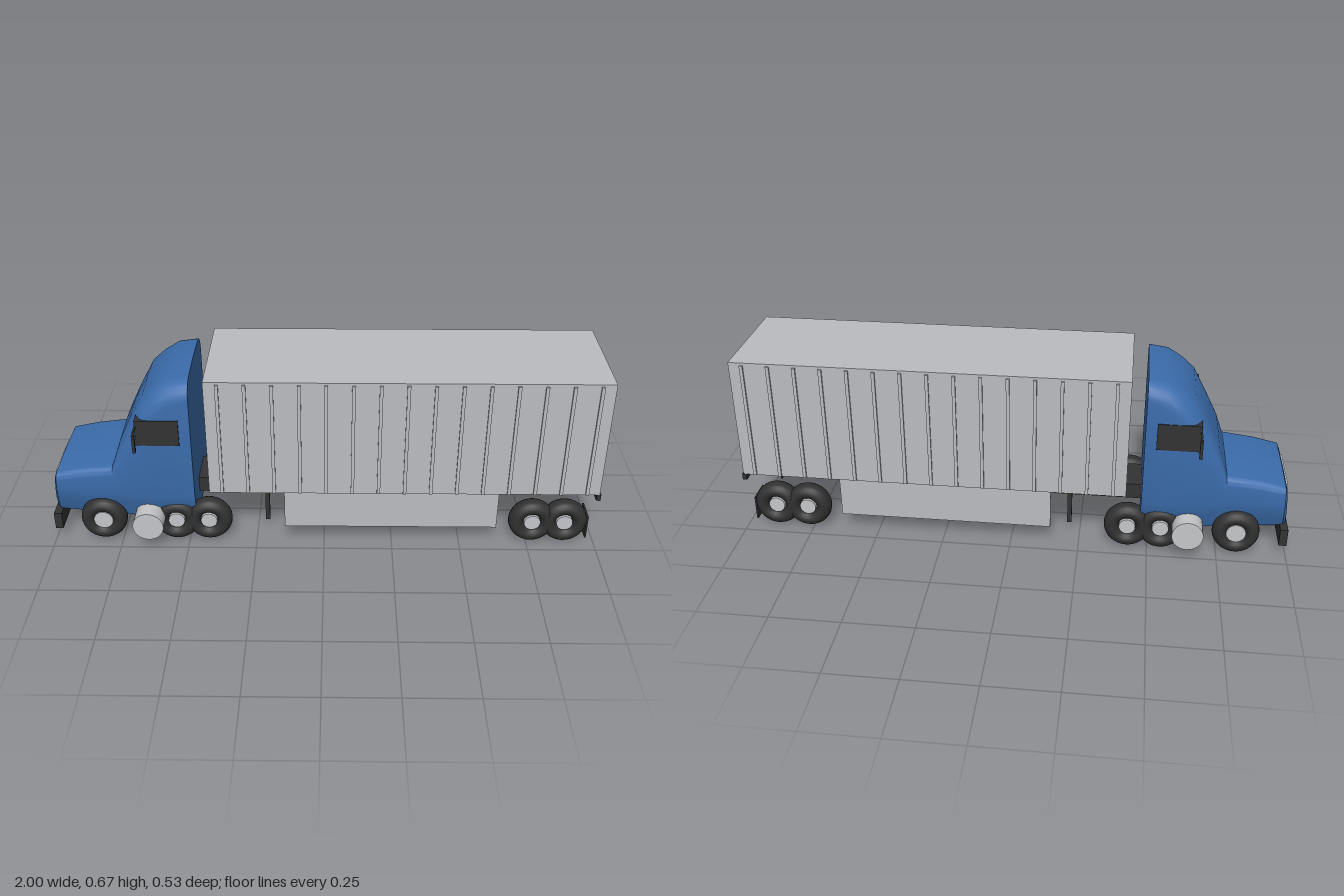
import * as THREE from 'three';
import { toCreasedNormals } from 'three/addons/utils/BufferGeometryUtils.js';

const mat = (name, color) => new THREE.MeshStandardMaterial({ name, color });

// Closed loft along x; each station: [x, bottom, top, halfWidth, cornerRadius, lean]
function loftCab(stations) {
  const pos = [], index = [];
  let n = 0;
  for (const [x, b, top, w, r, lean] of stations) {
    const half = [[0.1, b + 0.003], [w - 0.03, b + 0.02], [w - 0.008, 0.16], [w, 0.2]];
    for (let i = 0; i <= 6; i++) {
      const a = (i / 6) * Math.PI / 2;
      half.push([w - r + r * Math.cos(a), top - 0.005 - r + r * Math.sin(a)]);
    }
    const mirrored = half.slice().reverse().map(([z, y]) => [-z, y]);
    const loop = [[0, b], ...half, [0, top], ...mirrored];
    n = loop.length;
    for (const [z, y] of loop) pos.push(x + lean * (y - 0.1), y, z);
  }
  const last = (stations.length - 1) * n;
  for (let s = 0; s < stations.length - 1; s++) {
    for (let i = 0; i < n; i++) {
      const a = s * n + i, b = s * n + (i + 1) % n;
      index.push(a, a + n, b, b, a + n, b + n);
    }
  }
  // end caps
  for (let i = 1; i < n - 1; i++) {
    index.push(0, i, i + 1);
    index.push(last, last + i + 1, last + i);
  }
  const g = new THREE.BufferGeometry();
  g.setAttribute('position', new THREE.Float32BufferAttribute(pos, 3));
  g.setIndex(index);
  return toCreasedNormals(g, 0.6);
}

export function createModel() {
  const truck = new THREE.Group();
  truck.name = 'semiTruck';
  const blue = mat('cab blue', 0x3b6cab);
  const grey = mat('trailer grey', 0xbabcc0);
  const silver = mat('bright metal', 0xc4c6c9);
  const dark = mat('dark trim', 0x333333);
  const rubber = mat('tyre rubber', 0x303030);

  const add = (name, geometry, material, x = 0, y = 0, z = 0) => {
    const m = new THREE.Mesh(geometry, material);
    m.name = name;
    m.position.set(x, y, z);
    truck.add(m);
    return m;
  };
  // Box given by its minimum and maximum on each axis
  const box = (name, material, [x0, x1], [y0, y1], [z0, z1]) =>
    add(name, new THREE.BoxGeometry(x1 - x0, y1 - y0, z1 - z0), material,
      (x0 + x1) / 2, (y0 + y1) / 2, (z0 + z1) / 2);
  // Same box on both sides of the truck
  const pair = (name, material, xs, ys, [z0, z1]) => {
    box(name + 'Left', material, xs, ys, [z0, z1]);
    box(name + 'Right', material, xs, ys, [-z1, -z0]);
  };

  // Cab with hood, windshield and sleeper roof
  add('cabBody', loftCab([
    [-0.995, 0.09, 0.262, 0.165, 0.02, 0.08],
    [-0.982, 0.085, 0.277, 0.18, 0.025, 0.04],
    [-0.88, 0.078, 0.297, 0.184, 0.028, 0],
    [-0.766, 0.073, 0.31, 0.188, 0.03, 0],
    [-0.735, 0.072, 0.4, 0.195, 0.07, 0],
    [-0.69, 0.071, 0.495, 0.203, 0.1, 0],
    [-0.638, 0.07, 0.59, 0.21, 0.1, 0],
    [-0.59, 0.07, 0.628, 0.211, 0.085, 0],
    [-0.54, 0.07, 0.656, 0.21, 0.075, 0],
    [-0.47, 0.07, 0.665, 0.204, 0.065, 0],
  ]), blue);
  box('grilleBar', silver, [-0.99, -0.979], [0.234, 0.25], [-0.11, 0.11]);
  box('frontBumper', dark, [-1, -0.972], [0.042, 0.108], [-0.192, 0.192]);

  // Side windows and mirrors
  pair('sideWindow', dark, [-0.663, -0.51], [0.42, 0.52], [0.15, 0.213]);
  pair('mirrorArm', dark, [-0.664, -0.658], [0.494, 0.499], [0.15, 0.255]);
  pair('mirror', dark, [-0.666, -0.656], [0.42, 0.49], [0.25, 0.264]);

  // Chassis and fuel tanks
  box('chassis', dark, [-0.6, -0.145], [0.135, 0.194], [-0.076, 0.076]);
  for (const s of [1, -1]) {
    const tank = add('fuelTank', new THREE.CylinderGeometry(0.056, 0.056, 0.198, 32),
      silver, -0.64, 0.104, s * 0.167);
    tank.rotation.x = Math.PI / 2;
  }

  // Trailer box, side ribs, rear door seam
  box('trailerBox', grey, [-0.415, 0.995], [0.221, 0.674], [-0.212, 0.212]);
  for (let i = 0; i < 15; i++) {
    const x = -0.368 + i * 0.094;
    pair('trailerRib', grey, [x - 0.006, x + 0.006], [0.224, 0.665], [0.21, 0.219]);
  }
  box('doorSeam', dark, [0.99, 0.999], [0.228, 0.66], [-0.003, 0.003]);
  box('rearBumper', dark, [0.984, 1], [0.197, 0.222], [-0.213, 0.213]);

  // Side skirts, landing legs and mud flaps
  pair('sideSkirt', grey, [-0.145, 0.635], [0.066, 0.222], [0.194, 0.201]);
  pair('landingLeg', dark, [-0.219, -0.203], [0.05, 0.222], [0.121, 0.137]);
  pair('mudFlap', dark, [0.968, 0.974], [0.016, 0.108], [0.1, 0.192]);

  // Wheels on five axles: [x, hub radius]
  const tyreShape = new THREE.TorusGeometry(0.057, 0.028, 16, 36);
  tyreShape.scale(1, 1, 1.25);
  const axles = [[-0.816, 0.035], [-0.545, 0.03], [-0.425, 0.03], [0.767, 0.03], [0.886, 0.03]];
  for (const [x, r] of axles) {
    for (const s of [1, -1]) {
      add('tyre', tyreShape, rubber, x, 0.086, s * 0.175);
      const hub = add('wheelHub', new THREE.CylinderGeometry(r, r, 0.05, 24),
        silver, x, 0.086, s * 0.175);
      hub.rotation.x = Math.PI / 2;
    }
  }
  return truck;
}
